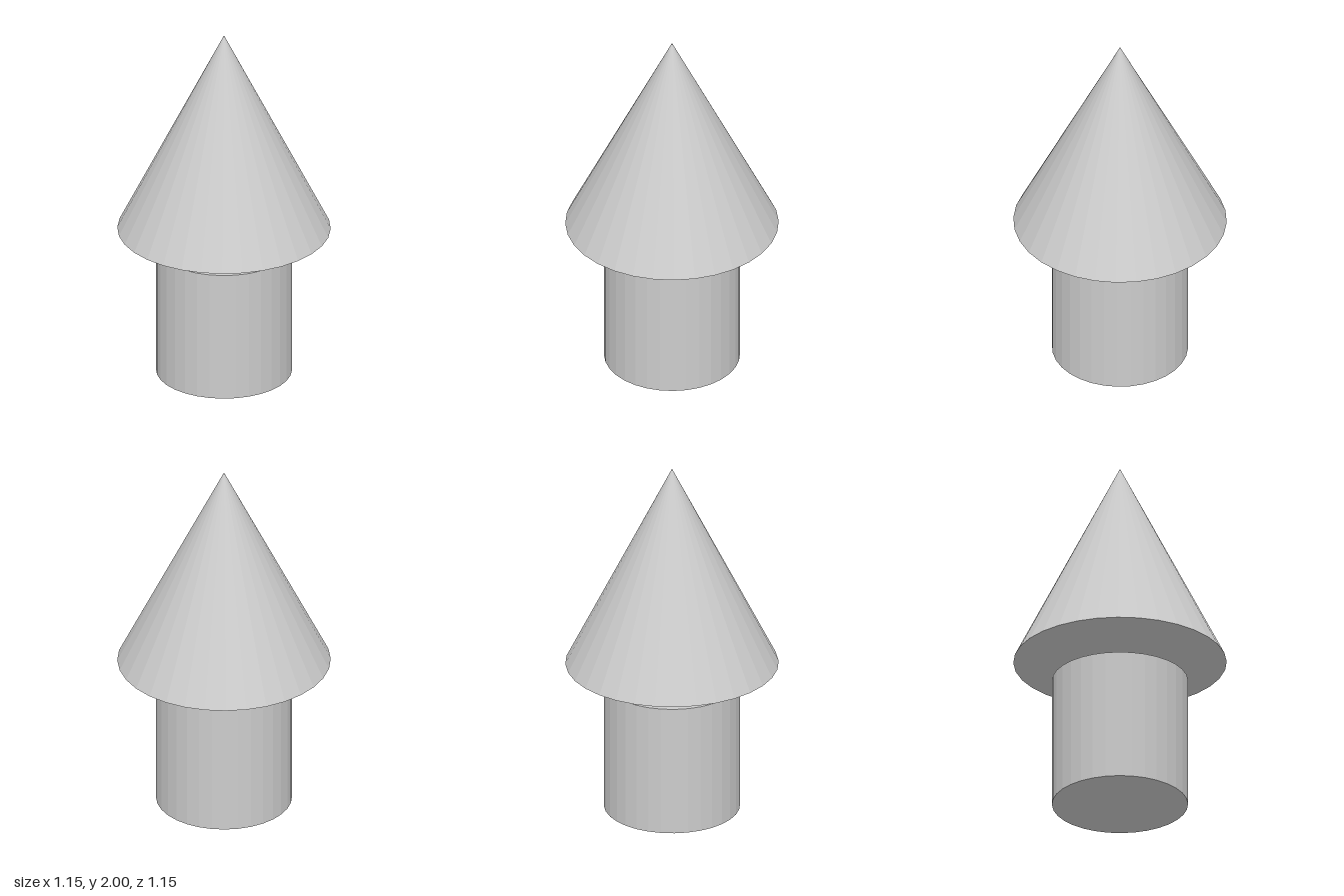
import * as THREE from 'three';

const SIDES = 32;

export function createModel() {
  const group = new THREE.Group();
  const material = new THREE.MeshStandardMaterial({ color: 0xcccccc, flatShading: true });

  // Adds a capped round part standing between two heights
  function addRound(name, topRadius, bottomRadius, bottom, top) {
    const geometry = new THREE.CylinderGeometry(topRadius, bottomRadius, top - bottom, SIDES);
    const mesh = new THREE.Mesh(geometry, material);
    mesh.name = name;
    mesh.position.y = (bottom + top) / 2;
    group.add(mesh);
  }

  // Cylindrical base, with a narrow gap below the floating cone
  addRound('base', 0.368, 0.368, 0, 0.737);
  addRound('cone', 0, 0.577, 0.847, 2);

  return group;
}
